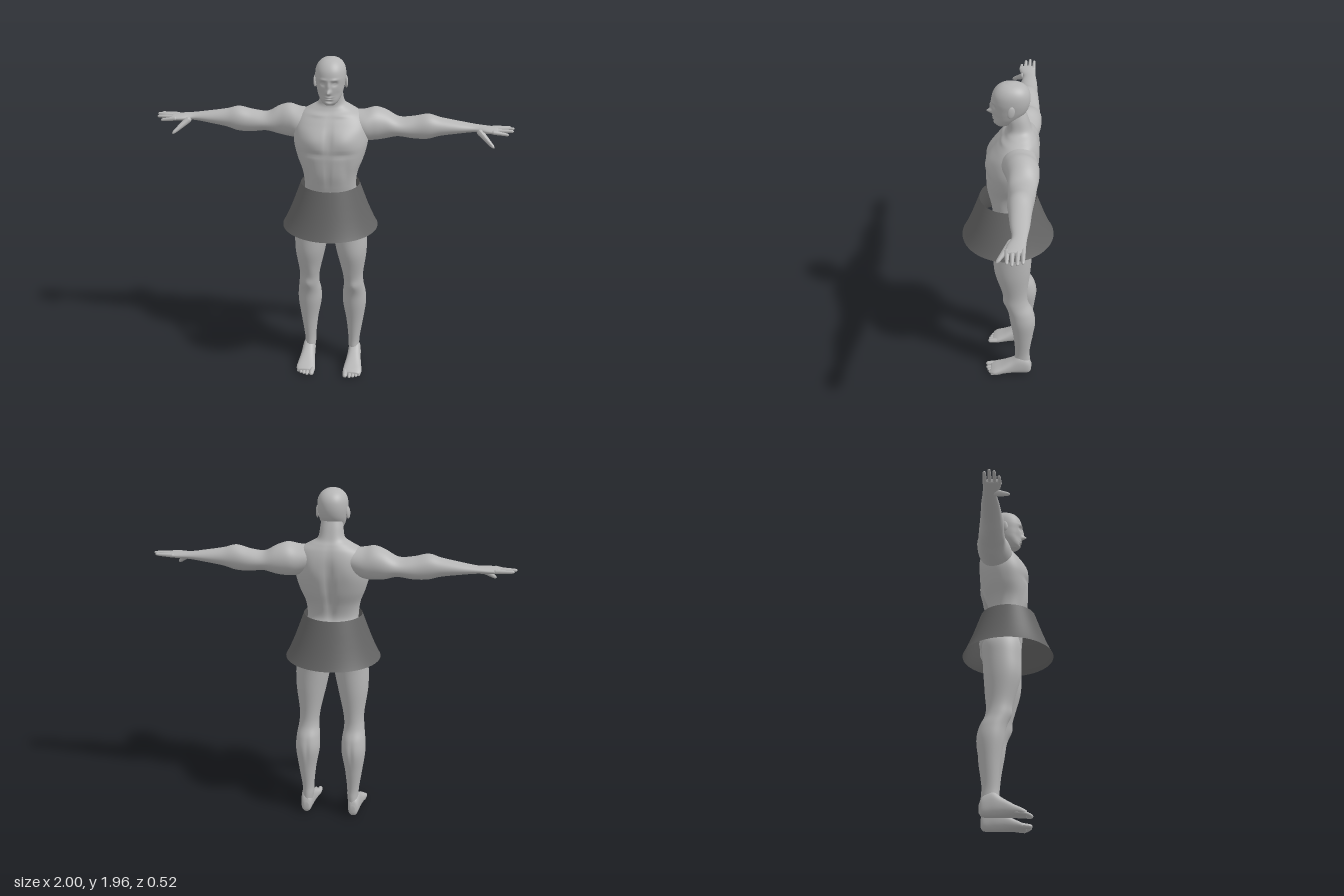
import * as THREE from 'three';

const skin = new THREE.MeshStandardMaterial({ color: 0xb6b6b6 });
skin.name = 'skin grey';
const cloth = new THREE.MeshStandardMaterial({ color: 0x646464, side: THREE.DoubleSide });
cloth.name = 'cloth dark grey';

// Smooth loft along an axis. Rows are [t, aMin, aMax, bMin, bMax], t ascending.
// Axis y: a = x, b = z.  Axis x: a = z, b = y.  Axis z: a = y, b = x.
// Bumps are [x, y, height, spreadX, spreadY, side], side 1 = front, -1 = back.
function loft(axis, rows, { seg = 32, steps = 4, power = 2, bumps = [] } = {}) {
  const curve = (i) => new THREE.CatmullRomCurve3(
    rows.map((r) => new THREE.Vector3(r[0], r[i], r[i + 1])), false, 'catmullrom');
  const ca = curve(1), cb = curve(3);
  const n = (rows.length - 1) * steps;
  const pos = [], index = [];
  const place = (t, a, b) => {
    if (axis === 'y') pos.push(a, t, b);
    else if (axis === 'x') pos.push(t, b, a);
    else pos.push(b, a, t);
  };
  const round = (v) => Math.sign(v) * Math.abs(v) ** (2 / power);
  for (let i = 0; i <= n; i++) {
    const A = ca.getPoint(i / n), B = cb.getPoint(i / n);
    for (let j = 0; j < seg; j++) {
      const th = (j / seg) * Math.PI * 2, s = Math.sin(th);
      const a = (A.y + A.z) / 2 + round(Math.cos(th)) * (A.z - A.y) / 2;
      let b = (B.y + B.z) / 2 + round(s) * (B.z - B.y) / 2;
      for (const [x, y, h, sx, sy, side] of bumps) {
        const w = Math.exp(-(((Math.abs(a) - x) / sx) ** 2) - ((A.x - y) / sy) ** 2);
        b += side * h * w * Math.max(0, side * s);
      }
      place(A.x, a, b);
    }
  }
  for (let i = 0; i < n; i++) for (let j = 0; j < seg; j++) {
    const p = i * seg + j, q = i * seg + (j + 1) % seg;
    index.push(p, p + seg, q, q, p + seg, q + seg);
  }
  // End caps
  for (const [r, base] of [[rows[0], 0], [rows[rows.length - 1], n * seg]]) {
    const c = pos.length / 3;
    place(r[0], (r[1] + r[2]) / 2, (r[3] + r[4]) / 2);
    for (let j = 0; j < seg; j++) {
      const p = base + j, q = base + (j + 1) % seg;
      if (base) index.push(c, q, p); else index.push(c, p, q);
    }
  }
  const g = new THREE.BufferGeometry();
  g.setAttribute('position', new THREE.Float32BufferAttribute(pos, 3));
  g.setIndex(index);
  g.computeVertexNormals();
  return g;
}

// Tapered rounded digit between two points
function digit(from, to, r0, r1) {
  const a = new THREE.Vector3(...from), b = new THREE.Vector3(...to);
  const dir = b.clone().sub(a), len = dir.length();
  const g = new THREE.CapsuleGeometry(r0, len - r0 - r1, 5, 12);
  const p = g.attributes.position;
  for (let i = 0; i < p.count; i++) {
    const k = THREE.MathUtils.lerp(1, r1 / r0, THREE.MathUtils.clamp(p.getY(i) / len + 0.5, 0, 1));
    p.setX(i, p.getX(i) * k);
    p.setZ(i, p.getZ(i) * k);
  }
  g.computeVertexNormals();
  g.applyQuaternion(new THREE.Quaternion().setFromUnitVectors(new THREE.Vector3(0, 1, 0), dir.normalize()));
  const m = a.add(b).multiplyScalar(0.5);
  return g.translate(m.x, m.y, m.z);
}

// Mirrored copy across x with corner order restored
function mirror(geo) {
  const g = geo.clone().scale(-1, 1, 1);
  const ix = g.index.array;
  for (let i = 0; i < ix.length; i += 3) [ix[i], ix[i + 1]] = [ix[i + 1], ix[i]];
  g.computeVertexNormals();
  return g;
}

export function createModel() {
  const model = new THREE.Group();
  model.name = 'figure';
  const add = (name, geo, mat = skin) => {
    const m = new THREE.Mesh(geo, mat);
    m.name = name;
    model.add(m);
  };
  const pair = (name, geo) => {
    add('left ' + name, geo);
    add('right ' + name, mirror(geo));
  };
  const even = ([y, w, zb, zf]) => [y, -w, w, zb, zf];

  // Torso and neck
  add('torso', loft('y', [
    [0.95, 0.06, -0.09, 0.03], [0.98, 0.13, -0.14, 0.06], [1.05, 0.19, -0.155, 0.08],
    [1.13, 0.172, -0.14, 0.085], [1.2, 0.148, -0.115, 0.09], [1.25, 0.145, -0.1, 0.1],
    [1.32, 0.155, -0.115, 0.115], [1.4, 0.185, -0.145, 0.12], [1.48, 0.205, -0.165, 0.12],
    [1.55, 0.205, -0.17, 0.1], [1.6, 0.195, -0.168, 0.068], [1.64, 0.165, -0.158, 0.036],
    [1.67, 0.115, -0.143, 0.012], [1.7, 0.073, -0.125, 0.003], [1.76, 0.062, -0.105, 0.012],
    [1.8, 0.055, -0.09, 0.02],
  ].map(even), {
    seg: 80, steps: 6, power: 2.3, bumps: [
      [0.085, 1.52, 0.012, 0.06, 0.045, 1], [0, 1.53, -0.01, 0.014, 0.07, 1], // chest
      [0.08, 1.445, -0.007, 0.07, 0.015, 1], [0, 1.33, -0.006, 0.01, 0.08, 1], // ribs, abdomen
      [0.1, 1.34, -0.006, 0.02, 0.07, 1], [0.07, 1.645, 0.006, 0.05, 0.01, 1], // flanks, collar bones
      [0, 1.42, -0.02, 0.022, 0.17, -1], [0.1, 1.54, 0.008, 0.05, 0.06, -1], // spine, shoulder blades
      [0.085, 1.03, 0.018, 0.06, 0.06, -1], [0, 1.03, -0.02, 0.015, 0.07, -1], // seat
    ],
  }));

  // Head with face relief
  add('head', loft('y', [
    [1.712, 0.028, 0.005, 0.058], [1.73, 0.047, -0.03, 0.073], [1.76, 0.063, -0.06, 0.077],
    [1.79, 0.072, -0.09, 0.081], [1.82, 0.078, -0.108, 0.083], [1.86, 0.083, -0.117, 0.087],
    [1.9, 0.08, -0.114, 0.08], [1.93, 0.066, -0.098, 0.061], [1.95, 0.042, -0.07, 0.034],
    [1.96, 0.012, -0.03, 0.0],
  ].map(even), {
    seg: 96, steps: 9, power: 2.15, bumps: [
      [0, 1.792, 0.03, 0.011, 0.013, 1], [0, 1.822, 0.014, 0.009, 0.025, 1], // nose
      [0.033, 1.838, -0.014, 0.015, 0.012, 1], [0.033, 1.837, 0.006, 0.008, 0.006, 1], // eyes
      [0.032, 1.86, 0.006, 0.022, 0.007, 1], // brows
      [0, 1.763, 0.008, 0.018, 0.005, 1], [0, 1.751, 0.008, 0.016, 0.005, 1], // lips
      [0, 1.757, -0.004, 0.02, 0.0025, 1], [0, 1.74, -0.006, 0.02, 0.006, 1],
      [0, 1.723, 0.006, 0.018, 0.01, 1], [0.05, 1.775, -0.006, 0.02, 0.025, 1], // chin, cheeks
    ],
  }));
  const ear = new THREE.SphereGeometry(1, 20, 14).scale(0.009, 0.035, 0.02);
  pair('ear', ear.rotateX(-0.15).rotateY(0.3).translate(0.084, 1.828, -0.02));

  // Arms, held straight out
  pair('arm', loft('x', [
    [0.1, -0.15, 0.01, 1.52, 1.65], [0.18, -0.168, 0.025, 1.485, 1.655],
    [0.24, -0.175, 0.01, 1.482, 1.668], [0.3, -0.175, -0.008, 1.49, 1.65],
    [0.37, -0.166, -0.015, 1.507, 1.613], [0.45, -0.16, -0.02, 1.497, 1.62],
    [0.53, -0.152, -0.02, 1.498, 1.638], [0.6, -0.146, -0.03, 1.518, 1.62],
    [0.7, -0.14, -0.042, 1.535, 1.602], [0.79, -0.13, -0.055, 1.547, 1.588],
    [0.85, -0.126, -0.035, 1.546, 1.584], [0.9, -0.124, -0.028, 1.55, 1.58],
    [0.915, -0.118, -0.034, 1.556, 1.576],
  ], { seg: 40, steps: 5 }));
  [[-0.114, 0.985, 1.57], [-0.089, 1, 1.573], [-0.063, 0.997, 1.566], [-0.038, 0.97, 1.553]]
    .forEach(([z, x, y], i) =>
      pair('finger ' + (i + 1), digit([0.88, 1.566, z], [x, y, z - 0.002], 0.0125, 0.008)));
  pair('thumb', digit([0.81, 1.563, -0.06], [0.892, 1.496, 0.01], 0.02, 0.009));

  // Legs
  pair('leg', loft('y', [
    [0.06, 0.11, 0.17, -0.145, -0.04], [0.12, 0.102, 0.168, -0.142, -0.048],
    [0.18, 0.1, 0.172, -0.14, -0.05], [0.3, 0.087, 0.19, -0.155, -0.04],
    [0.42, 0.066, 0.206, -0.172, -0.02], [0.5, 0.067, 0.203, -0.158, -0.008],
    [0.57, 0.075, 0.193, -0.126, 0.014], [0.65, 0.068, 0.19, -0.12, 0.028],
    [0.8, 0.035, 0.209, -0.135, 0.072], [0.92, 0.012, 0.21, -0.143, 0.077],
    [1.0, 0.006, 0.203, -0.148, 0.075], [1.06, 0.03, 0.18, -0.13, 0.06],
  ], {
    seg: 48, steps: 6, bumps: [
      [0.135, 0.58, 0.007, 0.03, 0.03, 1], [0.1, 0.66, 0.006, 0.03, 0.05, 1], // knee, inner thigh
      [0.13, 0.43, -0.006, 0.012, 0.07, -1], // calf split
    ],
  }));

  // Feet and toes
  pair('foot', loft('z', [
    [-0.152, 0.025, 0.07, 0.125, 0.155], [-0.135, 0.003, 0.11, 0.112, 0.172],
    [-0.085, 0, 0.14, 0.104, 0.18], [-0.03, 0.001, 0.105, 0.1, 0.185],
    [0.03, 0.002, 0.068, 0.091, 0.195], [0.075, 0.001, 0.045, 0.086, 0.2],
    [0.1, 0.004, 0.03, 0.093, 0.188],
  ], { seg: 32, steps: 5, power: 2.4 }));
  [[0.103, 0.132, 0.016], [0.13, 0.13, 0.012], [0.15, 0.122, 0.0115], [0.169, 0.112, 0.011], [0.186, 0.1, 0.0105]]
    .forEach(([x, z, r], i) =>
      pair('toe ' + (i + 1), digit([x - 0.002, r + 0.008, z - 0.065], [x, r, z], r, r * 0.85)));

  // Flared skirt, open at both ends
  const profile = [[0.272, 0.985], [0.258, 1.01], [0.24, 1.05], [0.219, 1.1], [0.193, 1.17], [0.166, 1.245]]
    .map(([r, y]) => new THREE.Vector2(r, y));
  add('skirt', new THREE.LatheGeometry(profile, 64).scale(1, 1, 0.965), cloth);

  return model;
}
